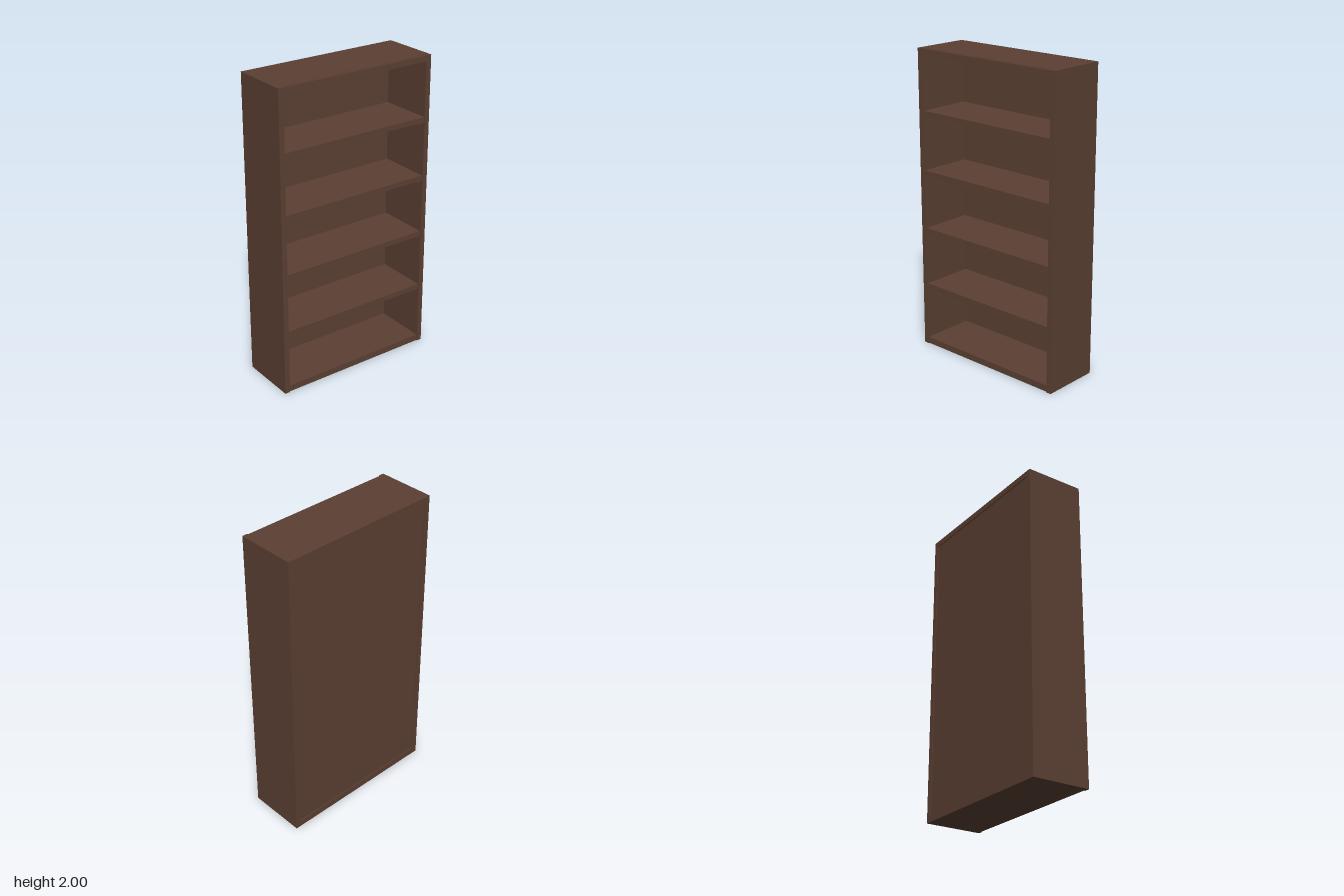
import * as THREE from 'three';

const W = 1.108, H = 2, D = 0.388;   // overall size
const T = 0.035;                     // side panel thickness
const INNER = W / 2 - T;             // half of the inner width
const BACK = -0.167;                 // inner face of the back panel

export function createModel() {
  const wood = new THREE.MeshStandardMaterial({ color: 0x5c4033 });
  wood.name = 'darkBrownWood';
  const group = new THREE.Group();
  group.name = 'bookcase';

  // box given by its limits on each axis
  const board = (name, [x0, x1], [y0, y1], [z0, z1]) => {
    const mesh = new THREE.Mesh(new THREE.BoxGeometry(x1 - x0, y1 - y0, z1 - z0), wood);
    mesh.position.set((x0 + x1) / 2, (y0 + y1) / 2, (z0 + z1) / 2);
    mesh.name = name;
    group.add(mesh);
  };
  const across = [-INNER, INNER];

  // side panels
  board('leftSide', [INNER, W / 2], [0, H], [-D / 2, D / 2]);
  board('rightSide', [-W / 2, -INNER], [0, H], [-D / 2, D / 2]);

  // top and bottom boards with slightly recessed front rails
  board('topBoard', across, [1.96, H], [-D / 2, 0.17]);
  board('topRail', across, [1.96, H - 0.002], [0.17, 0.19]);
  board('bottomBoard', across, [0, 0.045], [-D / 2, 0.17]);
  board('bottomRail', across, [0.002, 0.045], [0.17, 0.19]);

  // back panel, set into the frame
  board('backPanel', across, [0.045, 1.96], [-0.188, BACK]);

  // shelves with a small support cleat under each end
  [0.4, 0.79, 1.18, 1.571].forEach((y, i) => {
    board(`shelf${i + 1}`, across, [y, y + 0.034], [BACK, 0.188]);
    board(`leftCleat${i + 1}`, [INNER - 0.018, INNER], [y - 0.018, y], [BACK, 0.17]);
    board(`rightCleat${i + 1}`, [-INNER, -INNER + 0.018], [y - 0.018, y], [BACK, 0.17]);
  });

  return group;
}
